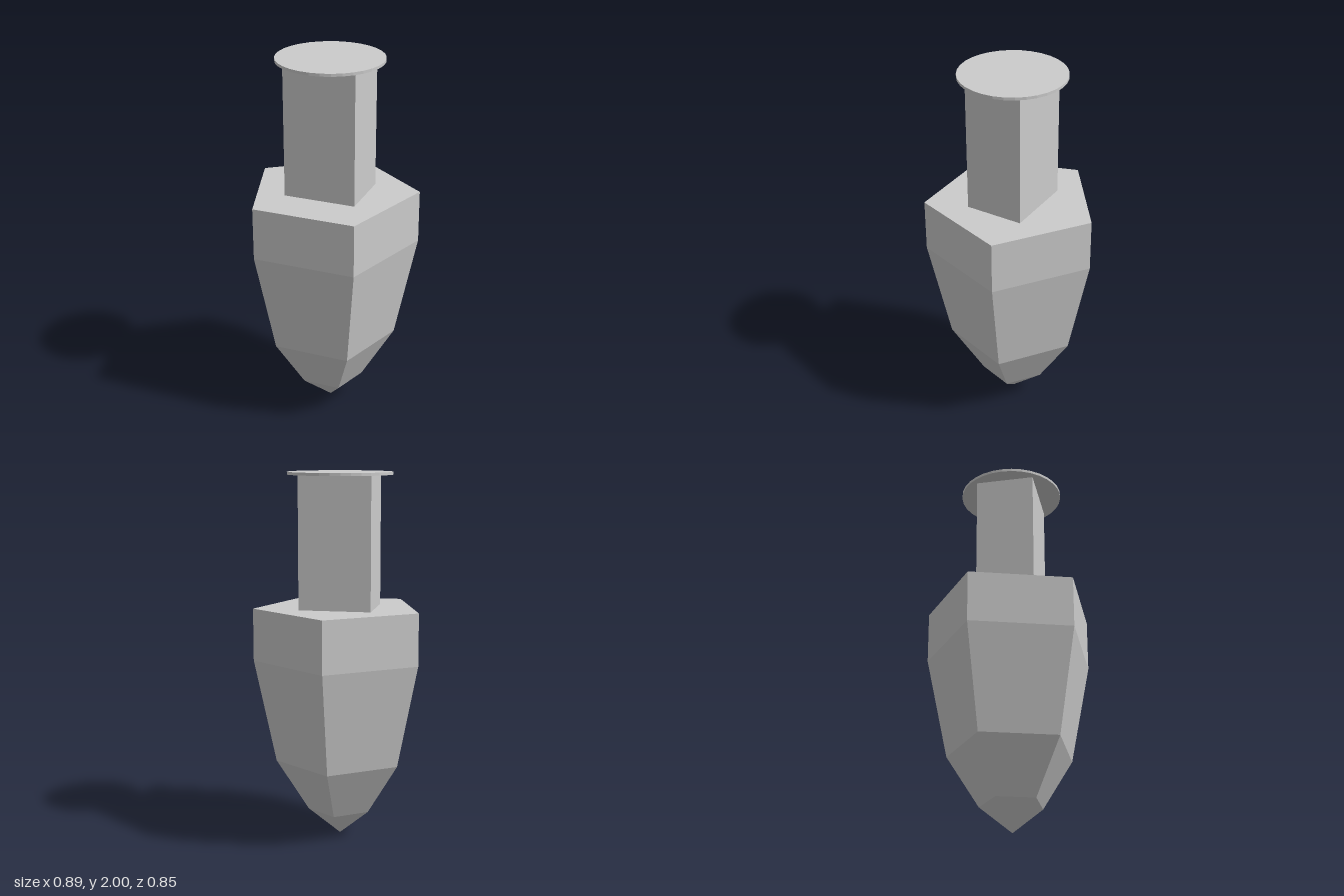
import * as THREE from 'three';

export function createModel() {
  const model = new THREE.Group();
  const material = new THREE.MeshStandardMaterial({ color: 0xcccccc, flatShading: true });
  const axisZ = 0.043; // common vertical axis of all parts

  function addPart(name, geometry, y = 0) {
    const mesh = new THREE.Mesh(geometry, material);
    mesh.name = name;
    mesh.position.set(0, y, axisZ);
    model.add(mesh);
    return mesh;
  }

  // Five-sided body: pointed tip, three tapering bands, straight collar, flat top
  const profile = [[0, 0], [0.175, 0.146], [0.352, 0.43], [0.47, 0.994], [0.47, 1.277], [0, 1.277]]
    .map(([r, y]) => new THREE.Vector2(r, y));
  const body = addPart('pointedBody', new THREE.LatheGeometry(profile, 5));
  body.rotation.y = Math.PI; // one corner to the back, flat side to the front

  // Rectangular stem
  const stemBottom = 1.277, stemTop = 1.985;
  addPart('stem', new THREE.BoxGeometry(0.388, stemTop - stemBottom, 0.317), (stemBottom + stemTop) / 2);

  // Thin round cap
  addPart('cap', new THREE.CylinderGeometry(0.282, 0.282, 2 - stemTop, 32), (2 + stemTop) / 2);

  return model;
}
